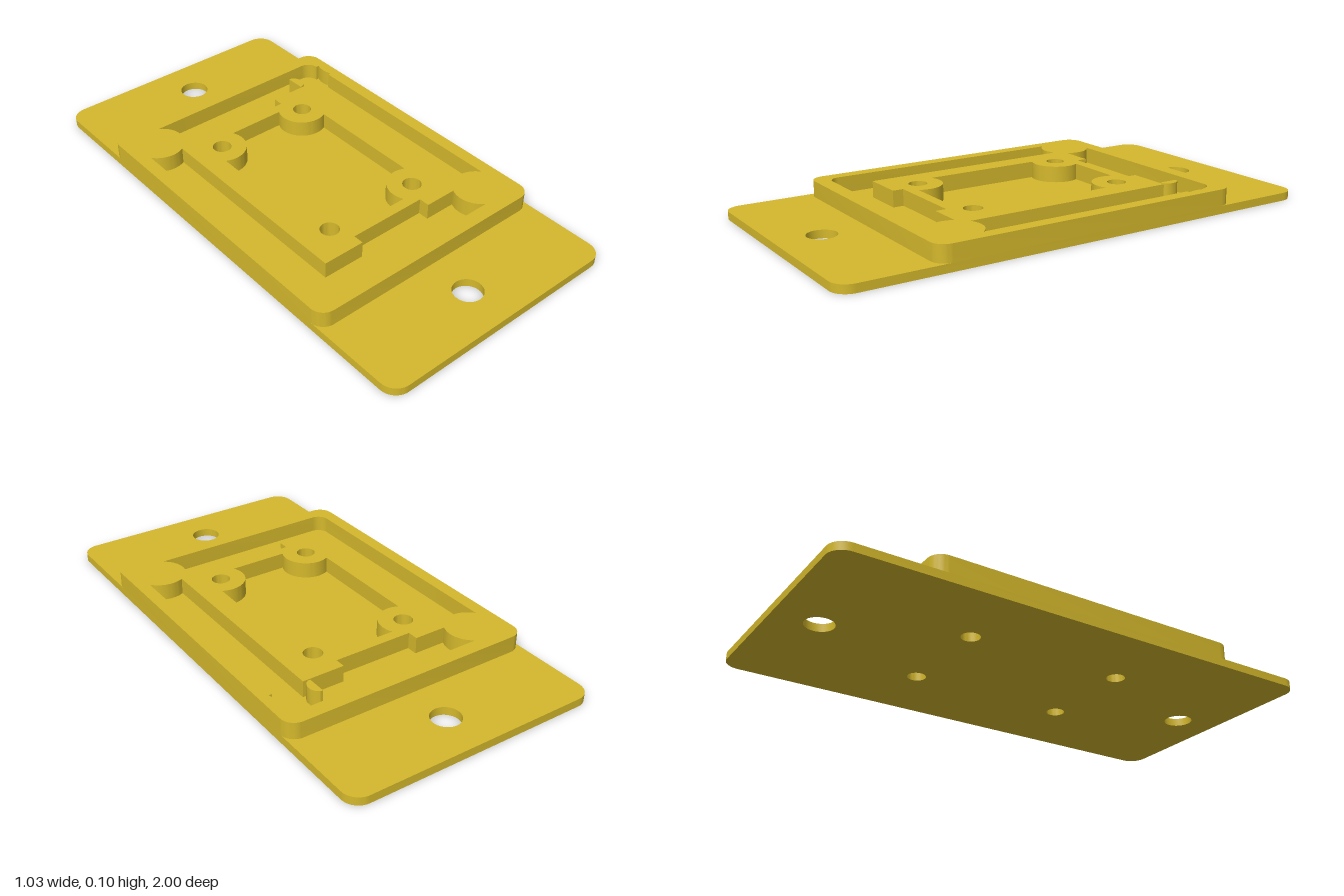
import * as THREE from 'three';
import { toCreasedNormals } from 'three/addons/utils/BufferGeometryUtils.js';

const BASE_H = 0.032, TOP_H = 0.098;
const v = (x, y) => new THREE.Vector2(x, y);

// Points along an arc
function arc(cx, cy, r, a0, a1, n = 20) {
  return Array.from({ length: n + 1 }, (_, i) => {
    const a = a0 + (a1 - a0) * i / n;
    return v(cx + r * Math.cos(a), cy + r * Math.sin(a));
  });
}

function roundedRect(hw, hh, r) {
  const q = Math.PI / 2;
  return [
    ...arc(hw - r, hh - r, r, 0, q, 10),
    ...arc(r - hw, hh - r, r, q, 2 * q, 10),
    ...arc(r - hw, r - hh, r, 2 * q, 3 * q, 10),
    ...arc(hw - r, r - hh, r, 3 * q, 4 * q, 10),
  ];
}

const circle = (x, y, r) => arc(x, y, r, 0, Math.PI * 2, 32).slice(0, -1);

// Plan drawings use (x, z); flip to (x, -z) so the extrusion rises along +y.
// Outlines are wound counter-clockwise and holes clockwise so all walls face outward.
function slab(outline, holes, y0, y1) {
  const wind = (pts, clockwise) => {
    const flipped = pts.map(p => v(p.x, -p.y));
    return THREE.ShapeUtils.isClockWise(flipped) === clockwise ? flipped : flipped.reverse();
  };
  const shape = new THREE.Shape(wind(outline, false));
  shape.holes = holes.map(h => new THREE.Path(wind(h, true)));
  const geo = new THREE.ExtrudeGeometry(shape, { depth: y1 - y0, bevelEnabled: false });
  geo.rotateX(-Math.PI / 2).translate(0, y0, 0);
  return toCreasedNormals(geo, 0.6);
}

// Groove running along one long side and one end, stopped by round corner posts
function groove(notch) {
  return [
    ...arc(-0.418, 0.545, 0.045, Math.PI / 2, Math.PI, 8),
    ...notch,
    ...arc(-0.383, -0.505, 0.1, 2.498, 1.071),
    v(-0.335, 0.458), v(-0.163, 0.458), v(-0.163, 0.415),
    v(0.163, 0.415), v(0.163, 0.458),
    ...arc(0.383, 0.505, 0.1, -2.651, -4.155),
  ];
}

// Central pocket with a round screw boss biting into each corner
function pocket() {
  const q = arc(0.205, 0.328, 0.098, -1.094, -3.619, 24);
  const mirror = (sx, sy) => q.map(p => v(p.x * sx, p.y * sy));
  return [...q, ...mirror(-1, 1).reverse(), ...mirror(-1, -1), ...mirror(1, -1).reverse()];
}

export function createModel() {
  const group = new THREE.Group();
  const mustard = new THREE.MeshStandardMaterial({ color: 0xd4b82c });
  mustard.name = 'mustard';
  const add = (name, geo) => {
    const mesh = new THREE.Mesh(geo, mustard);
    mesh.name = name;
    group.add(mesh);
  };

  const screwHoles = [];
  for (const sx of [-1, 1]) for (const sz of [-1, 1])
    screwHoles.push(circle(sx * 0.205, sz * 0.328, 0.037));
  const mountHoles = [-1, 1].map(s => circle(0, s * 0.823, 0.057));

  // Flanged base plate
  add('basePlate', slab(roundedRect(0.515, 1, 0.065), [...screwHoles, ...mountHoles], 0, BASE_H));

  // Raised frame with grooves, pocket and bosses
  const clipNotch = [v(-0.463, 0.543), v(-0.476, 0.543), v(-0.469, 0.52), v(-0.468, 0.5),
    v(-0.471, 0.48), v(-0.476, 0.462), v(-0.463, 0.462)];
  const plainGroove = groove([]);
  const notchedGroove = groove(clipNotch).map(p => v(-p.x, -p.y));
  add('raisedFrame', slab(roundedRect(0.515, 0.648, 0.055),
    [plainGroove, notchedGroove, pocket(), ...screwHoles], BASE_H, TOP_H));

  // Small half-round retaining post in the notched corner
  const post = [v(0.308, -0.463), v(0.308, -0.54), v(0.318, -0.54), v(0.332, -0.53),
    v(0.34, -0.513), v(0.34, -0.49), v(0.332, -0.473), v(0.318, -0.463)];
  add('retainingPost', slab(post, [], BASE_H, TOP_H));

  return group;
}
